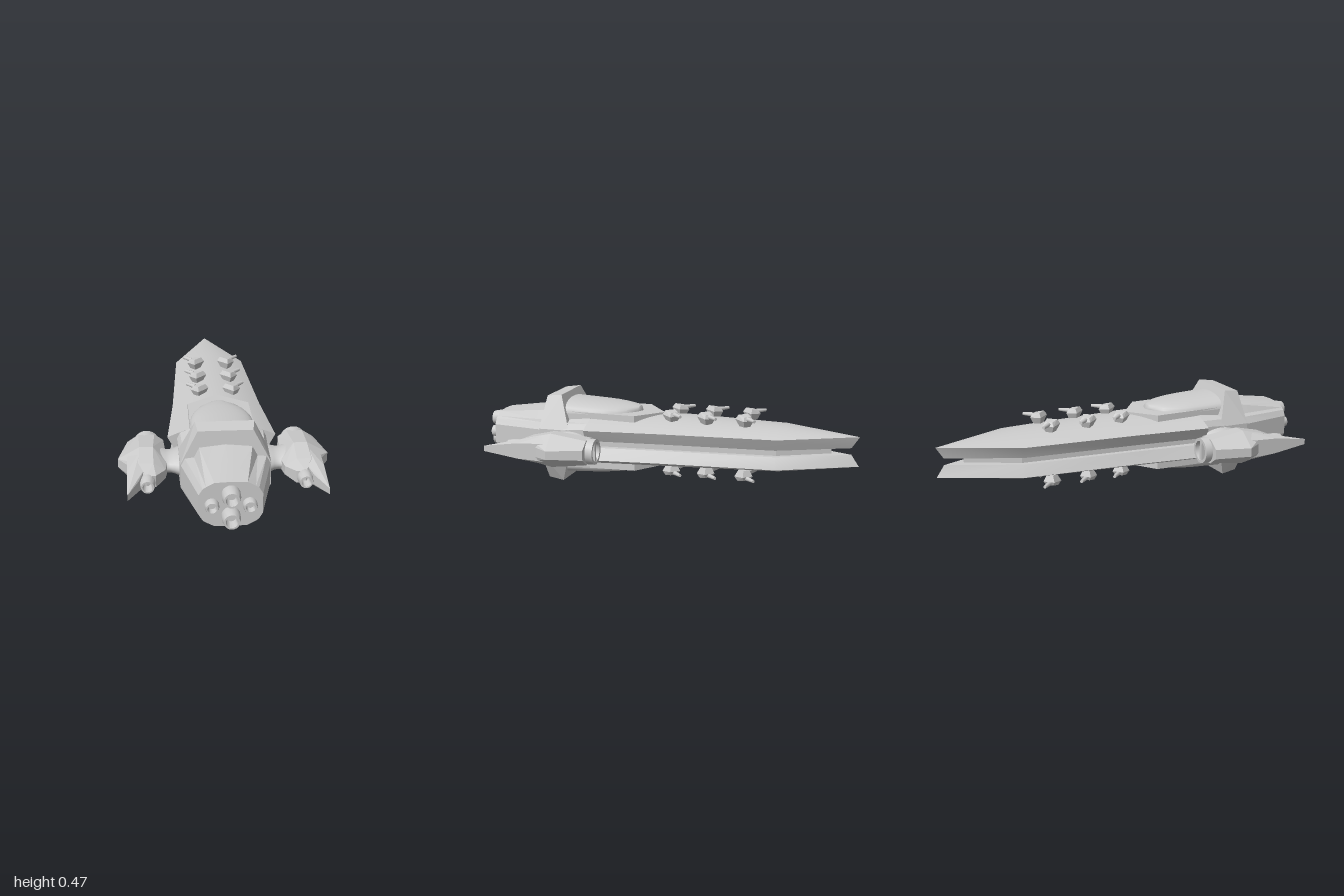
import * as THREE from 'three';
import { toCreasedNormals } from 'three/addons/utils/BufferGeometryUtils.js';
import { ConvexGeometry } from 'three/addons/geometries/ConvexGeometry.js';

const smooth = new THREE.MeshStandardMaterial({ color: 0xcccccc });
const flat = new THREE.MeshStandardMaterial({ color: 0xcccccc, flatShading: true });
const double = new THREE.MeshStandardMaterial({ color: 0xcccccc, side: THREE.DoubleSide });
const MID = 0.233; // height of the symmetry plane

function mesh(name, geometry, material = smooth) {
  const m = new THREE.Mesh(geometry, material);
  m.name = name;
  return m;
}

// Skin over rings of [x, y, z], each counter-clockwise seen from +z, ordered by rising z
function loft(rings, crease = 0.4) {
  const n = rings[0].length, pos = rings.flat(2), idx = [];
  for (let i = 0; i < rings.length - 1; i++) for (let j = 0; j < n; j++) {
    const a = i * n + j, b = i * n + (j + 1) % n;
    idx.push(a, b, b + n, a, b + n, a + n);
  }
  const last = (rings.length - 1) * n;
  for (let j = 1; j < n - 1; j++) idx.push(0, j + 1, j, last, last + j, last + j + 1);
  const g = new THREE.BufferGeometry();
  g.setAttribute('position', new THREE.Float32BufferAttribute(pos, 3));
  g.setIndex(idx);
  return toCreasedNormals(g, crease);
}

// Convex solid around points, optionally mirrored in x and y
function hull(points, mirrorX = false, mirrorY = false) {
  const all = [];
  for (const [x, y, z] of points)
    for (const sx of mirrorX ? [1, -1] : [1])
      for (const sy of mirrorY ? [1, -1] : [1]) all.push(new THREE.Vector3(sx * x, sy * y, z));
  return new ConvexGeometry(all);
}

// Full ring from a quadrant profile running from the side to the top
function quadRing(q, z) {
  const left = q.slice(0, -1).reverse().map(([x, y]) => [-x, y]);
  const upper = [...q, ...left];
  const lower = upper.slice(1, -1).reverse().map(([x, y]) => [x, -y]);
  return [...upper, ...lower].map(([x, y]) => [x, y, z]);
}

// Hollow exhaust bell along +z
function nozzle(name, r, x, y, z0, z1) {
  const l = z1 - z0;
  const pts = [[r * 0.8, 0], [r, l * 0.15], [r, l * 0.6], [r * 0.85, l], [r * 0.65, l], [r * 0.5, l * 0.4], [0, l * 0.4]];
  const g = new THREE.LatheGeometry(pts.map(p => new THREE.Vector2(...p)), 20);
  g.rotateX(Math.PI / 2);
  const m = mesh(name, toCreasedNormals(g, 0.5), double);
  m.position.set(x, y, z0);
  return m;
}

// Small angular gun, barrel toward -z
function makeTurret() {
  const t = new THREE.Group();
  t.name = 'turret';
  t.add(mesh('turretBody', hull([
    [0.022, -0.01, 0.02], [0.018, -0.01, -0.02],
    [0.04, 0.028, 0.032], [0.03, 0.022, -0.032],
    [0.028, 0.05, 0.02], [0.02, 0.042, -0.022]], true), flat));
  const g = new THREE.CylinderGeometry(0.008, 0.012, 0.06, 10);
  g.rotateX(-Math.PI / 2);
  g.translate(0, 0.031, -0.055);
  t.add(mesh('turretBarrel', g));
  return t;
}

// Everything on the upper half; the lower half is its mirror image
function makeHalf(name) {
  const half = new THREE.Group();
  half.name = name;

  // Long blade-shaped deck with a gently arched top
  const deck = [[-1, 0, 0.077, -0.96, 0], [-0.61, 0.187, 0.115, -0.6, 0.16],
    [0, 0.228, 0.133, 0, 0.2], [0.38, 0.267, 0.14, 0.38, 0.235]];
  half.add(mesh('deck', loft(deck.map(([z, w, top, zb, wb]) => {
    const ring = [[-wb, 0.017, zb], [wb, 0.017, zb]];
    for (let i = 0; i <= 12; i++) {
      const s = 1 - i / 6;
      ring.push([w * s, 0.077 + (top - 0.077) * (1 - s * s), z]);
    }
    return ring;
  }))));

  // Pointed plate around the canopy
  half.add(mesh('canopyPlate', hull([[0, 0.09, 0.02], [0, 0.143, 0.02], [0.155, 0.09, 0.14],
    [0.155, 0.146, 0.14], [0.157, 0.09, 0.52], [0.157, 0.15, 0.52]], true), flat));

  // Smooth egg-shaped canopy
  const stations = [[0.14, 0.005, 0.15], [0.155, 0.045, 0.17], [0.2, 0.1, 0.178], [0.25, 0.128, 0.183],
    [0.31, 0.148, 0.188], [0.37, 0.156, 0.192], [0.56, 0.16, 0.203]];
  half.add(mesh('canopy', loft(stations.map(([z, w, top]) => {
    const ring = [];
    for (let i = 0; i <= 16; i++) {
      const a = Math.PI * i / 16;
      ring.push([w * Math.cos(a), 0.14 + (top - 0.14) * Math.pow(Math.max(0, Math.sin(a)), 0.8), z]);
    }
    return ring;
  }), 0.7)));

  // Two rows of turrets angled outward
  for (const z of [-0.43, -0.23, -0.045]) for (const s of [-1, 1]) {
    const t = makeTurret();
    t.position.set(s * 0.087, 0.124, z);
    t.rotation.y = -s * Math.PI / 4;
    half.add(t);
  }
  return half;
}

// Side pod on the +x side
function makeNacelle() {
  const n = new THREE.Group();
  n.name = 'nacelle';
  n.add(mesh('nacelleBody', hull([
    [0.287, 0.03, 0.31], [0.33, 0.062, 0.31], [0.41, 0.062, 0.31], [0.465, 0.025, 0.31],
    [0.275, 0.025, 0.5], [0.34, 0.087, 0.5], [0.405, 0.087, 0.5], [0.51, 0.022, 0.49],
    [0.275, 0.025, 0.56], [0.284, 0.022, 0.62], [0.34, 0.06, 0.62], [0.41, 0.06, 0.62],
    [0.465, 0.045, 0.515], [0.33, 0.03, 0.69], [0.375, 0.03, 0.7]], false, true), flat));
  // Long trailing spike
  n.add(mesh('nacelleSpike', hull([
    [0.465, 0.046, 0.52], [0.4, 0.08, 0.52], [0.37, 0.05, 0.62], [0.4, 0.045, 0.66],
    [0.465, 0.04, 0.66], [0.41, 0.025, 0.73], [0.463, 0.014, 0.845]], false, true), flat));
  n.add(nozzle('nacelleNozzle', 0.036, 0.37, 0, 0.66, 0.75));

  // Front intake: ring with a recessed disc and a cross bar
  const ring = new THREE.LatheGeometry([[0.065, 0.05], [0.065, 0], [0.05, 0], [0.05, 0.025], [0, 0.025]]
    .map(p => new THREE.Vector2(...p)), 24);
  ring.rotateX(Math.PI / 2);
  const intake = mesh('intake', toCreasedNormals(ring, 0.5), double);
  intake.position.set(0.37, 0, 0.272);
  n.add(intake);
  const bar = mesh('intakeBar', new THREE.BoxGeometry(0.02, 0.105, 0.03));
  bar.position.set(0.37, 0, 0.29);
  n.add(bar);

  // Waisted pylon joining the pod to the body
  const prof = [[0.13, 0.18], [0.115, 0.215], [0.097, 0.24], [0.09, 0.26], [0.092, 0.28], [0.11, 0.31]];
  const g = new THREE.LatheGeometry(prof.map(p => new THREE.Vector2(...p)), 28);
  g.rotateZ(-Math.PI / 2);
  g.scale(1, 0.5, 1);
  const pylon = mesh('pylon', g, double);
  pylon.position.z = 0.48;
  n.add(pylon);
  return n;
}

export function createModel() {
  const root = new THREE.Group();
  root.name = 'spaceship';
  const ship = new THREE.Group();
  ship.name = 'ship';
  ship.position.y = MID;
  root.add(ship);

  const lower = makeHalf('lowerHalf');
  lower.scale.y = -1;
  ship.add(makeHalf('upperHalf'), lower);

  // Inset core between the two decks
  ship.add(mesh('core', hull([[0, 0.018, -0.86], [0.13, 0.018, -0.6], [0.2, 0.018, 0.4]], true, true), flat));

  // Faceted engine body
  ship.add(mesh('engineBody', loft([
    quadRing([[0.22, 0], [0.22, 0.07], [0.205, 0.1], [0.155, 0.12], [0.12, 0.14], [0, 0.148]], 0.38),
    quadRing([[0.213, 0], [0.213, 0.055], [0.193, 0.09], [0.15, 0.095], [0.125, 0.142], [0, 0.155]], 0.64),
    quadRing([[0.145, 0], [0.145, 0.05], [0.127, 0.08], [0.112, 0.09], [0.075, 0.11], [0, 0.113]], 0.93),
  ], 0.15)));

  // Hexagonal collar with tall fins above and below
  ship.add(mesh('collar', hull([[0.218, 0.06, 0.48], [0.14, 0.233, 0.545], [0.215, 0.06, 0.645],
    [0.131, 0.222, 0.628]], true, true), flat));

  // Main exhausts
  for (const s of [-1, 1]) {
    ship.add(nozzle('mainNozzle', 0.043, 0, s * 0.054, 0.92, 1));
    ship.add(nozzle('sideNozzle', 0.033, s * 0.086, 0, 0.92, 0.97));
  }

  // Pods on both sides
  const right = makeNacelle();
  right.scale.x = -1;
  ship.add(makeNacelle(), right);
  return root;
}
